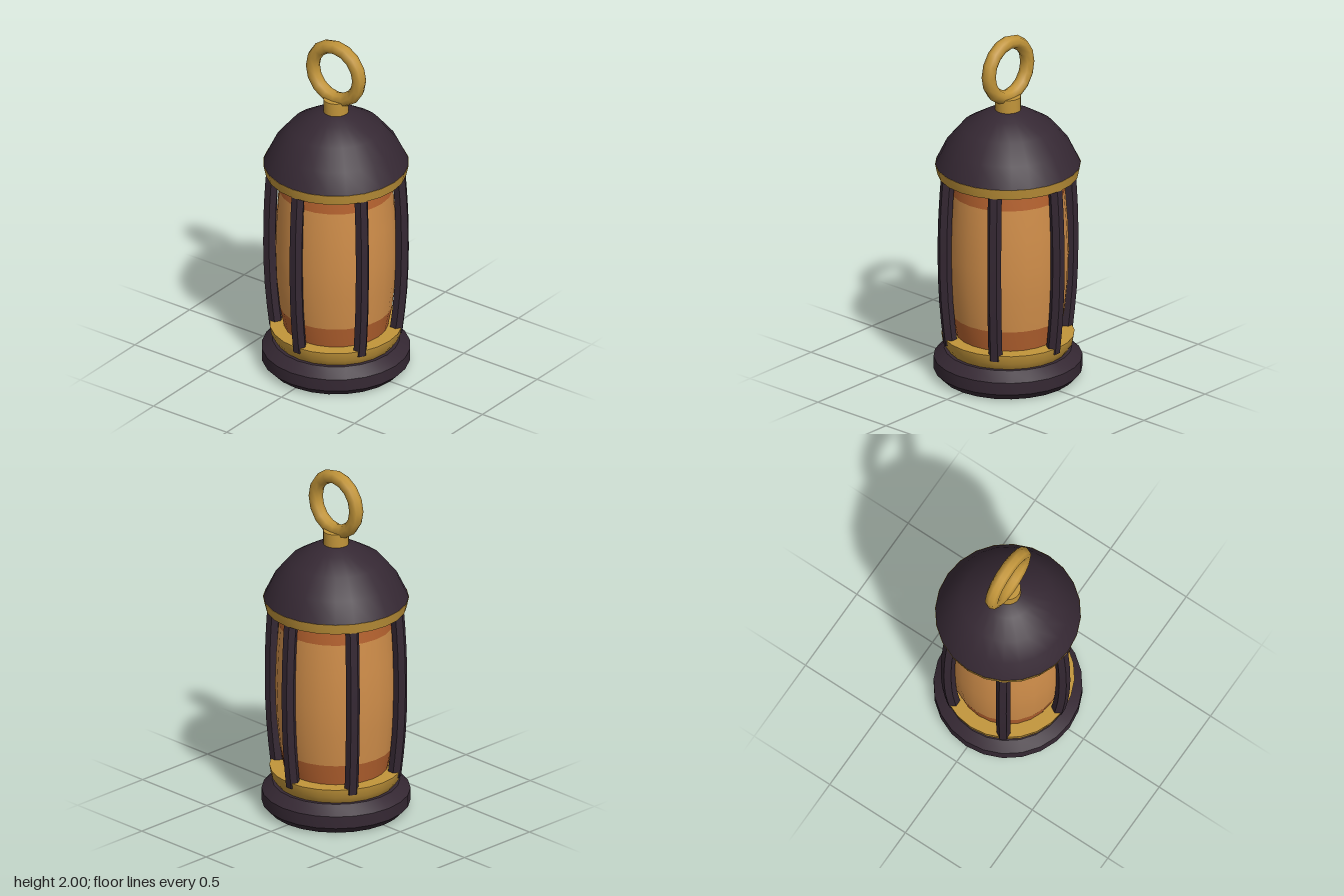
import * as THREE from 'three';
import { toCreasedNormals } from 'three/addons/utils/BufferGeometryUtils.js';

const mat = (name, color, extra = {}) => {
  const m = new THREE.MeshStandardMaterial({ color, ...extra });
  m.name = name;
  return m;
};

export function createModel() {
  const group = new THREE.Group();
  const dark = mat('dark iron', 0x352833);
  const gold = mat('brass', 0xc2953a);
  const glass = mat('amber glass', 0xd08e4a, { side: THREE.DoubleSide });
  const band = mat('burnt orange glass', 0xb5622f, { side: THREE.DoubleSide });

  const add = (name, geometry, material, parent = group) => {
    const mesh = new THREE.Mesh(geometry, material);
    mesh.name = name;
    parent.add(mesh);
    return mesh;
  };
  // Turned part from [radius, height] pairs, listed bottom to top
  const turned = (name, profile, material, crease = 0.6) => {
    const points = profile.map(([r, y]) => new THREE.Vector2(r, y));
    return add(name, toCreasedNormals(new THREE.LatheGeometry(points, 24), crease), material);
  };

  // Base and lower cup
  turned('base', [[0, 0], [0.37, 0], [0.408, 0.04], [0.408, 0.11], [0.35, 0.16], [0, 0.16]], dark);
  turned('lowerCup', [[0.33, 0.16], [0.357, 0.2], [0.365, 0.25], [0.28, 0.25]], gold);

  // Bulging glass, with darker bands at both ends
  turned('lowerGlassBand', [[0.285, 0.24], [0.31, 0.37]], band);
  turned('glass', [[0.31, 0.37], [0.328, 0.55], [0.334, 0.73], [0.327, 0.92], [0.314, 1.09]], glass);
  turned('upperGlassBand', [[0.314, 1.09], [0.303, 1.2]], band);

  // Collar and domed roof
  turned('collar', [[0, 1.19], [0.387, 1.19], [0.4, 1.25], [0, 1.25]], gold);
  turned('roof', [[0.398, 1.25], [0.342, 1.365], [0.255, 1.47], [0.14, 1.54], [0.065, 1.57], [0, 1.575]], dark, 0.9);

  // Six bowed hexagonal bars
  const bow = new THREE.CatmullRomCurve3([
    [0.22, 0.331], [0.45, 0.355], [0.72, 0.365], [1.0, 0.36], [1.22, 0.345],
  ].map(([y, z]) => new THREE.Vector3(0, y, z)));
  const barGeometry = toCreasedNormals(new THREE.TubeGeometry(bow, 8, 0.039, 6), 0.5);
  const capGeometry = new THREE.CircleGeometry(0.039, 6);
  for (let i = 0; i < 6; i++) {
    const bar = new THREE.Group();
    bar.name = 'cageBar' + (i + 1);
    bar.rotation.y = (i * Math.PI) / 3;
    add('barShaft', barGeometry, dark, bar);
    const cap = add('barFoot', capGeometry, dark, bar);
    cap.position.set(0, 0.22, 0.331);
    cap.rotation.x = Math.PI / 2;
    group.add(bar);
  }

  // Neck and carrying ring
  turned('neck', [[0.07, 1.55], [0.07, 1.645], [0, 1.645]], gold);
  const ring = add('carryingRing', new THREE.TorusGeometry(0.158, 0.039, 8, 16), gold);
  ring.position.y = 1.803;

  return group;
}
